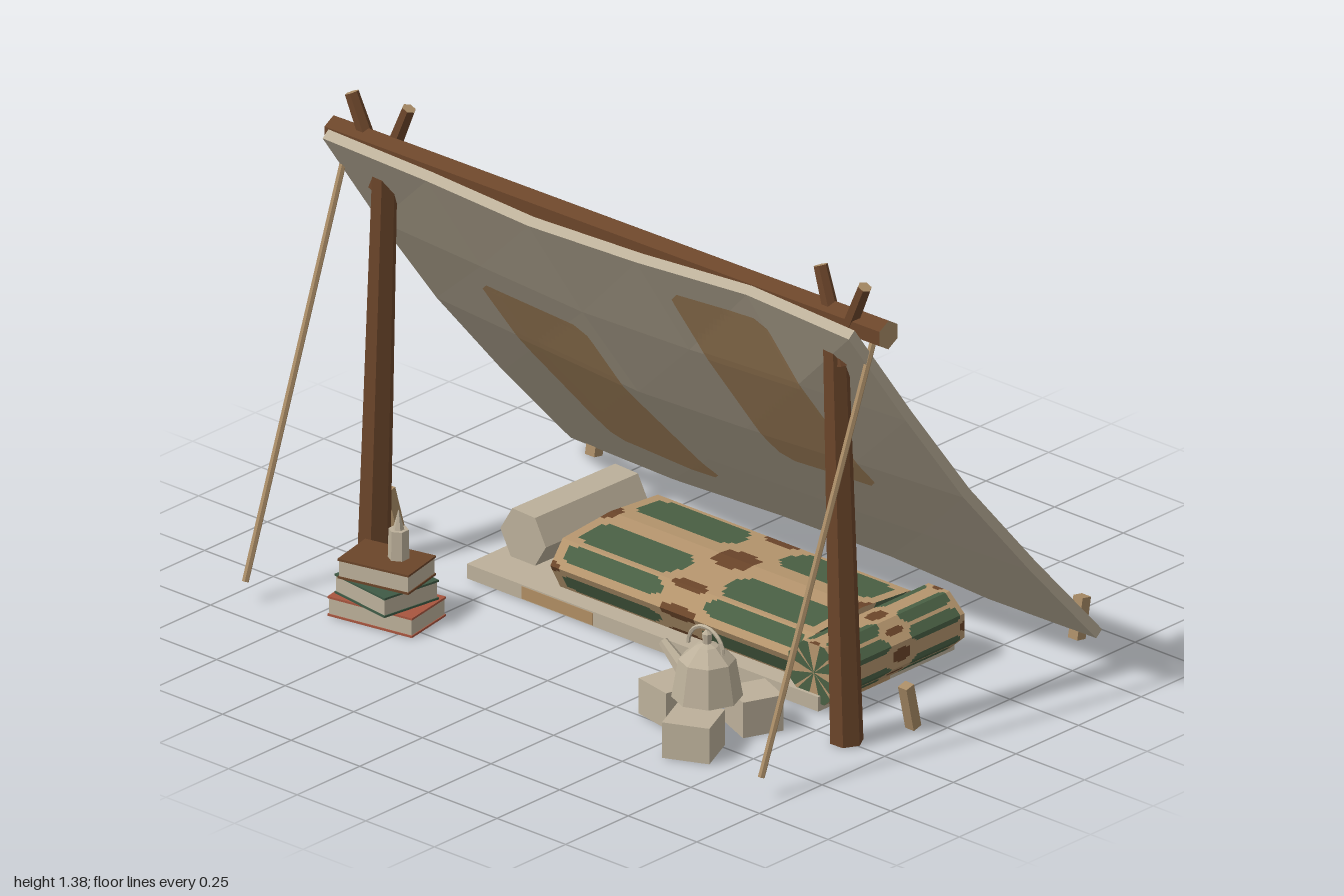
import * as THREE from 'three';

const paint = (name, color) => {
  const m = new THREE.MeshStandardMaterial({ color, flatShading: true });
  m.name = name;
  return m;
};
const canvas = paint('canvas', 0xbcb09a), patch = paint('patch', 0xb08d63), wood = paint('wood', 0x6b452a);
const cut = paint('cutWood', 0xa98c66), green = paint('camoGreen', 0x4a6044), tan = paint('camoTan', 0xb5956d);
const red = paint('bookRed', 0xa8563f), bookGreen = paint('bookGreen', 0x3f5a45);
const V = (x, y, z) => new THREE.Vector3(x, y, z);

// Mesh from lists of triangles, one list for each material
function triMesh(name, lists, mats) {
  const geo = new THREE.BufferGeometry().setFromPoints(lists.flat());
  let start = 0;
  lists.forEach((l, i) => { geo.addGroup(start, l.length, i); start += l.length; });
  geo.computeVertexNormals();
  const m = new THREE.Mesh(geo, mats);
  m.name = name;
  return m;
}
const quad = (list, a, b, c, d) => list.push(a, b, c, a, c, d);

function part(name, geo, mat, x = 0, y = 0, z = 0, yaw = 0) {
  const m = new THREE.Mesh(geo, mat);
  m.name = name;
  m.position.set(x, y, z);
  m.rotation.y = yaw;
  return m;
}
const box = (name, mat, w, h, d, x, y, z, yaw) => part(name, new THREE.BoxGeometry(w, h, d), mat, x, y, z, yaw);

// Straight rod from a to b
function rod(name, a, b, r0, r1, mats, sides = 6) {
  const dir = b.clone().sub(a);
  const geo = new THREE.CylinderGeometry(r1, r0, dir.length(), sides);
  geo.rotateY(Math.PI / sides);
  const m = part(name, geo, mats);
  m.position.copy(a).lerp(b, 0.5);
  m.quaternion.setFromUnitVectors(V(0, 1, 0), dir.normalize());
  return m;
}

// Tarp surface: rows run from the front lip down to the ground
const rows = [[0.335, 1.265], [0.11, 0.945], [-0.12, 0.64], [-0.385, 0.335], [-0.65, 0.045]];
const rowSag = [0.016, 0.034, 0.042, 0.026, 0];
const colSag = [0, 0.55, 1.1, 0.85, 0.4, 0];
const lip = [0, 0, 0.008, 0, -0.018, 0.004];
const hem = [-0.005, 0.008, -0.015, -0.018, 0.008, 0];
const up = V(0, 0.63, -0.777);
const HALF = 0.96, COLS = 5, ROWS = 4;
function node(i, j) {
  const p = V(-HALF + i * 2 * HALF / COLS, rows[j][1], rows[j][0]);
  p.addScaledVector(up, -rowSag[j] * colSag[i]);
  if (j === 0) p.addScaledVector(up, -lip[i]);
  if (j === ROWS) p.z += hem[i];
  return p;
}
function onTarp(x, t, off) {
  const u = (x + HALF) / (2 * HALF) * COLS;
  const i = Math.min(COLS - 1, Math.max(0, Math.floor(u))), j = Math.min(ROWS - 1, Math.floor(t));
  const f = u - i, g = t - j;
  const b = node(i + 1, j), d = node(i, j + 1);
  const o = f + g < 1 ? node(i, j) : node(i + 1, j + 1);
  const [kb, kd] = f + g < 1 ? [f, g] : [1 - g, 1 - f];
  return o.clone().addScaledVector(b.sub(o), kb).addScaledVector(d.sub(o), kd).addScaledVector(up, off);
}
function tarp() {
  const T = 0.015, l = [];
  const P = (i, j, s) => node(i, j).addScaledVector(up, s * T);
  for (let i = 0; i < COLS; i++) for (let j = 0; j < ROWS; j++) {
    for (const s of [1, -1]) {
      const a = P(i, j, s), b = P(i + 1, j, s), c = P(i + 1, j + 1, s), d = P(i, j + 1, s);
      if (s > 0) l.push(a, b, d, d, b, c); else l.push(a, d, b, d, c, b);
    }
  }
  for (let i = 0; i < COLS; i++) {
    quad(l, P(i, 0, -1), P(i + 1, 0, -1), P(i + 1, 0, 1), P(i, 0, 1));
    quad(l, P(i + 1, ROWS, -1), P(i, ROWS, -1), P(i, ROWS, 1), P(i + 1, ROWS, 1));
  }
  for (let j = 0; j < ROWS; j++) {
    quad(l, P(0, j + 1, -1), P(0, j, -1), P(0, j, 1), P(0, j + 1, 1));
    quad(l, P(COLS, j, -1), P(COLS, j + 1, -1), P(COLS, j + 1, 1), P(COLS, j, 1));
  }
  return triMesh('tarp', [l], [canvas]);
}
// Sewn patch with rounded corners, shown on both faces of the tarp
function tarpPatch(x0, x1, t0, t1) {
  const N = 24, l = [], mid = (x0 + x1) / 2, hw = (x1 - x0) / 2;
  for (const s of [1, -1]) {
    const P = (i, j) => {
      const e = Math.max(0, Math.abs(j / N * 2 - 1) - 0.88) / 0.12;
      const w = hw - 0.035 * (1 - Math.sqrt(Math.max(0, 1 - e * e)));
      return onTarp(mid + (i / N * 2 - 1) * w, t0 + (t1 - t0) * j / N, s * 0.0185);
    };
    for (let i = 0; i < N; i++) for (let j = 0; j < N; j++) {
      const a = P(i, j), b = P(i + 1, j), c = P(i + 1, j + 1), d = P(i, j + 1);
      if (s > 0) l.push(a, b, d, d, b, c); else l.push(a, d, b, d, c, b);
    }
  }
  return triMesh('tarpPatch', [l], [patch]);
}

// Camouflage rule: 0 tan, 1 green, 2 brown
function camo(t, s) {
  const a = Math.abs(t - 0.5) * 2, b = Math.abs(s - Math.floor(s) - 0.5) * 2;
  if ((a / 0.15) ** 2 + (b / 0.3) ** 2 < 1) return 2;
  if (((a - 1) / 0.08) ** 2 + (b / 0.2) ** 2 < 1 || (a / 0.14) ** 2 + ((b - 1) / 0.14) ** 2 < 1) return 2;
  return ((a - 0.56) / 0.38) ** 4 + ((b - 0.6) / 0.34) ** 4 < 1 ? 1 : 0;
}
// Closed profile of [u, v, pattern position], swept by place(t, u, v)
function camoLoft(name, profile, place) {
  const K = 14, N = 60, lists = [[], [], []], pts = [];
  for (let i = 0; i < profile.length - 1; i++) for (let k = 0; k < K; k++)
    pts.push(profile[i].map((v, n) => v + (profile[i + 1][n] - v) * k / K));
  pts.push(profile[profile.length - 1]);
  const mean = n => profile.slice(1).reduce((sum, p) => sum + p[n], 0) / (profile.length - 1);
  const cu = mean(0), cv = mean(1);
  for (let i = 0; i < pts.length - 1; i++) {
    const [p, q] = [pts[i], pts[i + 1]], s = (p[2] + q[2]) / 2;
    for (let n = 0; n < N; n++) {
      const t0 = n / N, t1 = (n + 1) / N;
      quad(lists[camo((t0 + t1) / 2, s)], place(t0, p[0], p[1]), place(t1, p[0], p[1]),
        place(t1, q[0], q[1]), place(t0, q[0], q[1]));
    }
    const end = lists[camo(0.78, s)];
    end.push(place(0, cu, cv), place(0, p[0], p[1]), place(0, q[0], q[1]));
    end.push(place(1, cu, cv), place(1, q[0], q[1]), place(1, p[0], p[1]));
  }
  return triMesh(name, lists, [tan, green, wood]);
}

function bed() {
  const g = new THREE.Group();
  g.name = 'bed';
  g.add(box('mat', canvas, 1.28, 0.043, 0.545, 0.04, 0.0245, -0.1075));
  for (const [x, z] of [[0.34, -0.03], [-0.3, -0.17]]) {
    const spot = part('matPatch', new THREE.CylinderGeometry(1, 1, 0.003, 8), patch, x, 0.0015, z);
    spot.geometry.rotateY(Math.PI / 8);
    spot.scale.set(0.14, 1, 0.12);
    g.add(spot);
  }
  g.add(box('matEdgePatch', patch, 0.26, 0.036, 0.004, -0.27, 0.024, 0.165));
  g.add(box('matEdgePatch', patch, 0.12, 0.028, 0.004, 0.3, 0.018, 0.165));
  g.add(box('matEdgePatch', patch, 0.004, 0.024, 0.15, 0.68, 0.016, -0.045));
  // pillow
  g.add(rod('pillow', V(-0.5, 0.115, 0.05), V(-0.49, 0.115, -0.35), 0.085, 0.085, canvas, 6));
  // blanket with a rolled foot end
  const section = [[0.11, 0.05, 0], [0.15, 0.125, 0.5], [0.1, 0.19, 1], [-0.09, 0.205, 1.5],
    [-0.28, 0.19, 2], [-0.355, 0.12, 2.5], [-0.29, 0.05, 3], [0.11, 0.05, 4]];
  g.add(camoLoft('blanket', section, (t, z, y) => V(-0.31 + 0.92 * t, y, z)));
  const ring = [];
  for (let i = 0; i <= 8; i++) {
    const a = (i - 0.5) * Math.PI / 4;
    ring.push([0.655 + 0.1 * Math.cos(a), 0.107 + 0.092 * Math.sin(a), i / 2 + 0.25]);
  }
  g.add(camoLoft('blanketRoll', ring, (t, x, y) => V(x, y, 0.155 - 0.5 * t)));
  return g;
}

function books() {
  const g = new THREE.Group();
  g.name = 'bookStack';
  const H = 0.058;
  [[red, 0.27, 0.17, 0.17], [bookGreen, 0.21, 0.19, -0.14], [wood, 0.22, 0.15, 0.22]].forEach(([mat, w, d, yaw], i) => {
    const y = i * H;
    g.add(box('pages', canvas, w - 0.006, H - 0.01, d - 0.006, -0.6, y + H / 2, 0.485, yaw));
    for (const c of [0.003, H - 0.003]) g.add(box('cover', mat, w, 0.006, d, -0.6, y + c, 0.485, yaw));
  });
  // candle
  g.add(part('candle', new THREE.CylinderGeometry(0.028, 0.03, 0.085, 6), canvas, -0.575, 0.216, 0.465));
  g.add(part('candleFlame', new THREE.ConeGeometry(0.016, 0.06, 6), canvas, -0.575, 0.288, 0.465));
  return g;
}

function fireplace() {
  const g = new THREE.Group();
  g.name = 'kettleOnStones';
  for (const [x, z, s, yaw] of [[0.4, 0.445, 0.125, -0.2], [0.6, 0.575, 0.135, 0.42], [0.61, 0.345, 0.12, -0.4]])
    g.add(box('stone', canvas, s, 0.105, s, x, 0.0525, z, yaw));
  const profile = [[0, 0.1], [0.097, 0.105], [0.078, 0.215], [0.032, 0.255], [0.012, 0.262], [0.014, 0.29], [0, 0.305]];
  g.add(part('kettle', new THREE.LatheGeometry(profile.map(p => new THREE.Vector2(...p)), 8), canvas, 0.54, 0, 0.455));
  g.add(rod('spout', V(0.48, 0.135, 0.455), V(0.375, 0.215, 0.45), 0.026, 0.014, canvas));
  g.add(part('handle', new THREE.TorusGeometry(0.064, 0.006, 5, 12, Math.PI), canvas, 0.535, 0.243, 0.455));
  return g;
}

export function createModel() {
  const g = new THREE.Group();
  g.name = 'campShelter';
  const log = [wood, cut, cut];
  g.add(tarp(), tarpPatch(-0.65, -0.25, 1.29, 3.46), tarpPatch(0.25, 0.59, 0.27, 2.34));
  g.add(rod('ridgeBar', V(-1, 1.24, 0.26), V(1, 1.24, 0.235), 0.042, 0.042, log));
  for (const s of [-1, 1]) {
    // forked pole
    g.add(rod('pole', V(s * 0.862, 0, 0.25), V(s * 0.822, 1.16, 0.25), 0.047, 0.036, wood));
    g.add(rod('forkOuter', V(s * 0.82, 1.11, 0.25), V(s * 0.935, 1.37, 0.258), 0.026, 0.02, log));
    g.add(rod('forkInner', V(s * 0.85, 1.11, 0.25), V(s * 0.75, 1.37, 0.232), 0.026, 0.02, log));
    // guy rope and pegs
    g.add(rod('guyRope', V(s * 0.94, 0.062, 0.677), V(s * 0.957, 1.21, 0.25), 0.01, 0.01, cut));
    g.add(rod('sidePeg', V(s * 0.94, 0.008, 0.07), V(s * 0.945, 0.142, 0.105), 0.022, 0.022, cut, 4));
    g.add(rod('rearPeg', V(s * 0.88, 0.008, -0.648), V(s * 0.88, 0.126, -0.67), 0.024, 0.024, cut, 4));
  }
  g.add(bed(), books(), fireplace());
  return g;
}
